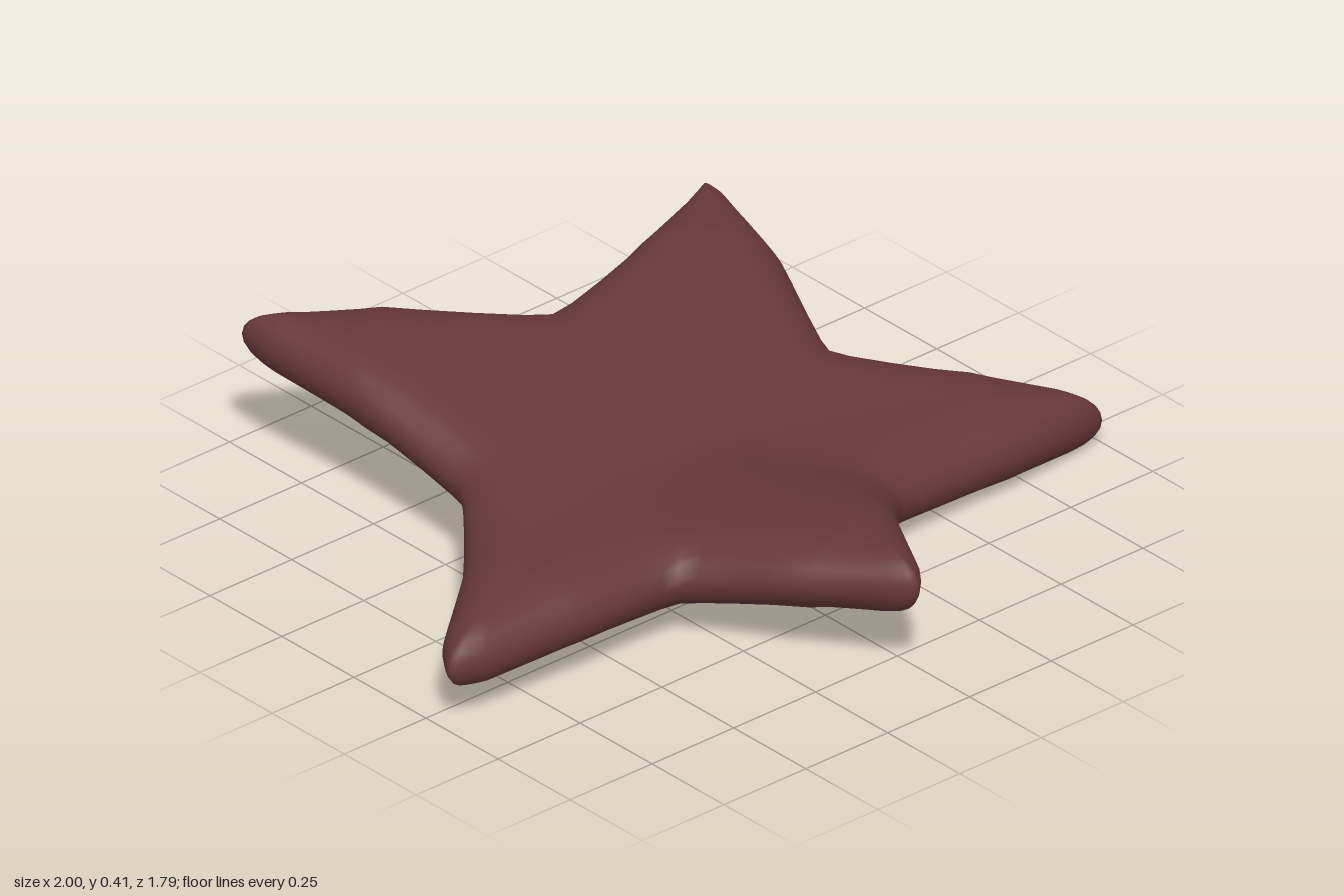
import * as THREE from 'three';
import { mergeVertices } from 'three/addons/utils/BufferGeometryUtils.js';

const V = (x, y, z) => new THREE.Vector3(x, y, z);
const CENTRE = V(0.02, 0.142, 0.0);
const RIM = 0.15; // width of the rounded edge
const HALF = [0.09, 0.094, 0.08, 0.08, 0.08, 0.094]; // half thickness along an arm

// Each arm, counter-clockwise from above: valley, side, shoulder, tip, shoulder, side
const ARMS = [
  [[-0.36, 0.17, 0.40], [-0.235, 0.225, 0.64], [-0.11, 0.25, 0.83], [-0.06, 0.26, 0.89], [0.0, 0.25, 0.83], [0.15, 0.22, 0.58]],
  [[0.33, 0.12, 0.40], [0.68, 0.098, 0.385], [0.89, 0.082, 0.358], [0.995, 0.07, 0.33], [0.95, 0.083, 0.25], [0.81, 0.108, 0.06]],
  [[0.61, 0.15, -0.16], [0.70, 0.24, -0.44], [0.74, 0.285, -0.68], [0.74, 0.29, -0.76], [0.67, 0.29, -0.73], [0.43, 0.287, -0.65]],
  [[0.09, 0.272, -0.57], [-0.23, 0.32, -0.77], [-0.46, 0.346, -0.87], [-0.55, 0.355, -0.90], [-0.555, 0.346, -0.81], [-0.53, 0.31, -0.5]],
  [[-0.51, 0.22, -0.19], [-0.72, 0.188, 0.06], [-0.95, 0.165, 0.25], [-1.0, 0.16, 0.33], [-0.91, 0.16, 0.365], [-0.6, 0.17, 0.392]],
];

function starGeometry() {
  // Outline points, each paired with a point on its arm's middle line
  const outline = [], spine = [];
  for (const arm of ARMS) {
    const p = arm.map((c) => V(...c));
    const middle = p[1].clone().lerp(p[5], 0.5);
    const end = p[2].clone().lerp(p[4], 0.5).lerp(middle, 0.32);
    outline.push(...p);
    spine.push(CENTRE, middle, end, end, end, middle);
  }
  const curve = new THREE.CatmullRomCurve3(outline, true, 'catmullrom', 0.2);

  // Cross-section from the upper middle line, around the rim, to the lower one
  const profile = [];
  for (let k = 0; k < 4; k++) profile.push({ flat: 1 - k / 4, angle: Math.PI / 2 });
  for (let k = 0; k <= 12; k++) profile.push({ flat: 0, angle: Math.PI / 2 - (k * Math.PI) / 12 });
  for (let k = 1; k <= 4; k++) profile.push({ flat: k / 4, angle: -Math.PI / 2 });

  const n = outline.length, sub = 4, count = n * sub;
  const positions = [], index = [];
  for (const { flat, angle } of profile) {
    for (let i = 0; i < count; i++) {
      const s = Math.floor(i / sub), t = (i % sub) / sub;
      const edge = curve.getPoint(i / count);
      const inner = spine[s].clone().lerp(spine[(s + 1) % n], t);
      const half = THREE.MathUtils.lerp(HALF[s % 6], HALF[(s + 1) % 6], t);
      const length = edge.distanceTo(inner);
      const rim = Math.min(RIM, length * 0.9);
      const inset = rim * (1 - Math.cos(angle)) + flat * (length - rim);
      const p = edge.lerp(inner, inset / length);
      positions.push(p.x, p.y + half * Math.sin(angle), p.z);
    }
  }
  for (let r = 0; r < profile.length - 1; r++) {
    for (let i = 0; i < count; i++) {
      const j = (i + 1) % count;
      const a = r * count + i, b = r * count + j, c = a + count, d = b + count;
      index.push(c, d, b, c, b, a);
    }
  }
  let geometry = new THREE.BufferGeometry();
  geometry.setAttribute('position', new THREE.Float32BufferAttribute(positions, 3));
  geometry.setIndex(index);
  geometry = mergeVertices(geometry, 1e-4);
  geometry.computeVertexNormals();
  return geometry;
}

export function createModel() {
  const model = new THREE.Group();
  model.name = 'starfish';
  const skin = new THREE.MeshStandardMaterial({ color: 0x673737 });
  skin.name = 'reddish brown';
  const body = new THREE.Mesh(starGeometry(), skin);
  body.name = 'starBody';
  model.add(body);
  // Rest on the ground
  const box = new THREE.Box3().setFromObject(model);
  body.position.y = -box.min.y;
  return model;
}
